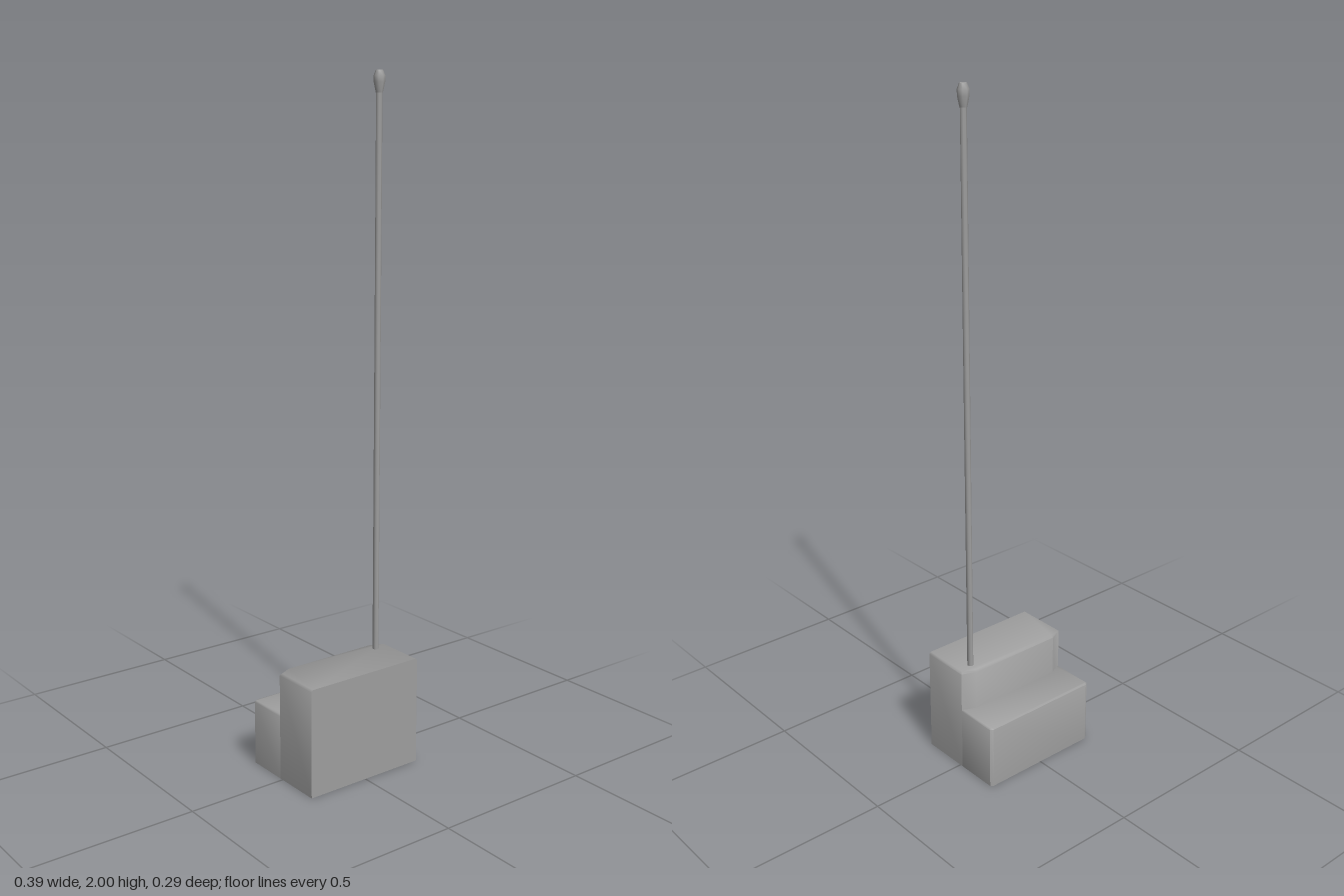
import * as THREE from 'three';
import { toCreasedNormals } from 'three/addons/utils/BufferGeometryUtils.js';

const material = new THREE.MeshStandardMaterial({ color: 0x9e9e9e });

// Smooth normals over shallow edges, worked out at a larger scale to keep small details apart
function crease(geometry, degrees) {
  geometry.scale(100, 100, 100);
  return toCreasedNormals(geometry, THREE.MathUtils.degToRad(degrees)).scale(0.01, 0.01, 0.01);
}

function part(name, geometry) {
  const mesh = new THREE.Mesh(geometry, material);
  mesh.name = name;
  return mesh;
}

// Upright block from a plan of [x, z] corners: flat below, soft chamfer above, crisp front
function block(name, plan, height, bevel) {
  const shape = new THREE.Shape(plan.map(([x, z]) => new THREE.Vector2(x, -z)));
  const geometry = new THREE.ExtrudeGeometry(shape, {
    depth: height - bevel, bevelEnabled: true, bevelSegments: 1,
    bevelThickness: bevel, bevelSize: bevel, bevelOffset: -bevel,
  });
  geometry.rotateX(-Math.PI / 2);
  const p = geometry.attributes.position;
  for (let i = 0; i < p.count; i++) {
    p.setY(i, Math.max(0, p.getY(i)));
    if (p.getZ(i) > 0.13) p.setZ(i, 0.142);
  }
  return part(name, crease(geometry, 50));
}

function lathe(name, profile) {
  const points = profile.map(([r, y]) => new THREE.Vector2(r, y));
  return part(name, crease(new THREE.LatheGeometry(points, 8), 50));
}

export function createModel() {
  const model = new THREE.Group();
  model.name = 'radioBox';

  // Tall front housing with cut back corners
  model.add(block('frontHousing', [
    [-0.194, 0.142], [0.193, 0.142], [0.193, -0.01],
    [0.15, -0.029], [-0.153, -0.029], [-0.194, -0.01],
  ], 0.326, 0.006));

  // Lower rear step, its front buried in the housing
  model.add(block('rearStep', [
    [-0.18, 0.03], [0.18, 0.03], [0.193, -0.01], [0.193, -0.139],
    [0.184, -0.145], [-0.185, -0.145], [-0.194, -0.139], [-0.194, -0.01],
  ], 0.198, 0.004));

  // Whip antenna with a small flat-topped knob
  const antenna = new THREE.Group();
  antenna.name = 'antenna';
  antenna.position.set(0.144, 0, 0.008);
  antenna.add(lathe('rod', [[0.009, 0.3], [0.009, 1.96]]));
  antenna.add(lathe('tip', [
    [0, 1.94], [0.01, 1.94], [0.016, 1.968], [0.016, 1.985], [0.01, 2], [0, 2],
  ]));
  model.add(antenna);
  return model;
}
